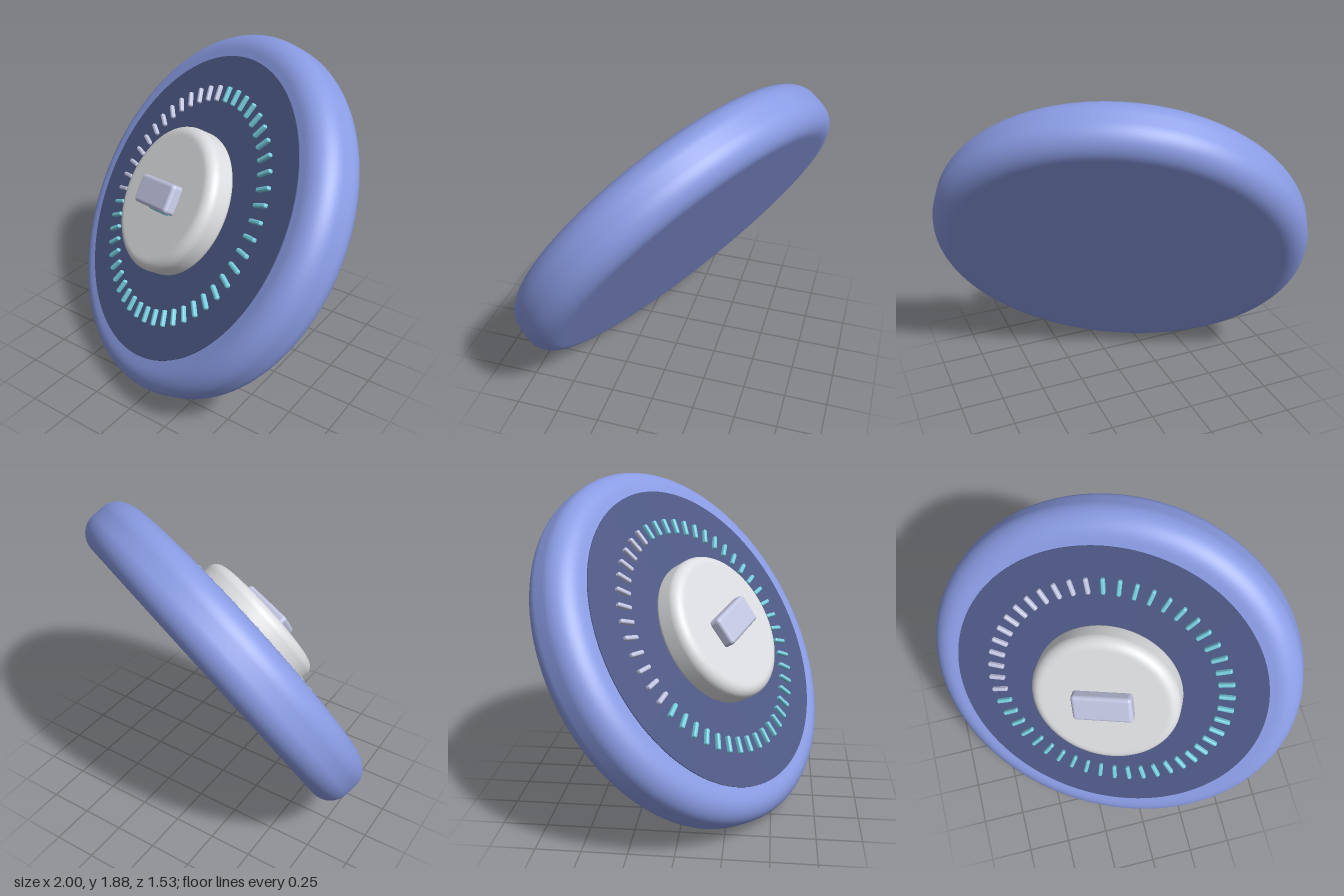
import * as THREE from 'three';
import { RoundedBoxGeometry } from 'three/addons/geometries/RoundedBoxGeometry.js';

const material = (name, color) => {
  const m = new THREE.MeshStandardMaterial({ color });
  m.name = name;
  return m;
};

// Quarter-round points around (r, z), from angle a to angle b
function arc(r, z, radius, a, b, steps = 12) {
  const pts = [];
  for (let i = 0; i <= steps; i++) {
    const t = a + ((b - a) * i) / steps;
    pts.push(new THREE.Vector2(r + radius * Math.cos(t), z + radius * Math.sin(t)));
  }
  return pts;
}

// Revolve a profile (radius, height) and point its axis along +z
const turned = (pts) => new THREE.LatheGeometry(pts, 128).rotateX(Math.PI / 2);

export function createModel() {
  const blue = material('periwinkle', 0x8a9ce4);
  const navy = material('slate blue', 0x4d5885);
  const grey = material('light grey', 0xdcdde0);
  const lilac = material('pale lilac', 0xc2c6e2);
  const teal = material('aqua', 0x76cfe0);

  const model = new THREE.Group();
  model.name = 'dial';
  const tilt = new THREE.Group();
  tilt.name = 'tiltedDial';
  tilt.position.y = 0.94;
  tilt.rotation.set(-0.609, -0.401, 0);
  model.add(tilt);

  const add = (name, geometry, mat, parent = tilt) => {
    const mesh = new THREE.Mesh(geometry, mat);
    mesh.name = name;
    parent.add(mesh);
    return mesh;
  };
  const V = (r, z) => new THREE.Vector2(r, z);
  const Q = Math.PI / 2;

  // Thick round body with soft edges and a flat back
  add('body', turned([
    V(0, -0.163), V(0.92, -0.163),
    ...arc(0.93, -0.033, 0.13, -Q, 0),
    ...arc(0.93, 0.033, 0.13, 0, Q),
    V(0.92, 0.163), V(0, 0.163),
  ]), blue);

  // Dark face plate
  const plate = new THREE.CylinderGeometry(0.886, 0.886, 0.009, 128).rotateX(Q);
  add('facePlate', plate, navy).position.z = 0.163;

  // Central knob
  add('knob', turned([
    V(0.4, 0.16), ...arc(0.395, 0.19, 0.025, -Q, 0, 5),
    ...arc(0.36, 0.265, 0.06, 0, Q, 8),
    V(0.35, 0.325), V(0, 0.325),
  ]), grey);

  // Raised grip with a small indicator showing under its lower edge
  const grip = new THREE.Group();
  grip.name = 'grip';
  grip.rotation.z = -0.05;
  tilt.add(grip);
  add('gripBlock', new RoundedBoxGeometry(0.34, 0.165, 0.08, 4, 0.022), lilac, grip).position.z = 0.347;
  add('indicator', new RoundedBoxGeometry(0.18, 0.03, 0.03, 2, 0.008), teal, grip).position.set(0.04, -0.076, 0.332);

  // Ring of 48 scale marks: a quarter are unlit
  const ticks = new THREE.Group();
  ticks.name = 'scaleMarks';
  tilt.add(ticks);
  const tickShape = new RoundedBoxGeometry(0.094, 0.024, 0.03, 2, 0.009);
  for (let i = 0; i < 48; i++) {
    const a = THREE.MathUtils.degToRad(92 + i * 7.5);
    const tick = add(i < 13 ? 'unlitMark' : 'litMark', tickShape, i < 13 ? lilac : teal, ticks);
    tick.position.set(0.658 * Math.cos(a), 0.658 * Math.sin(a), 0.175);
    tick.rotation.z = a;
  }
  return model;
}
